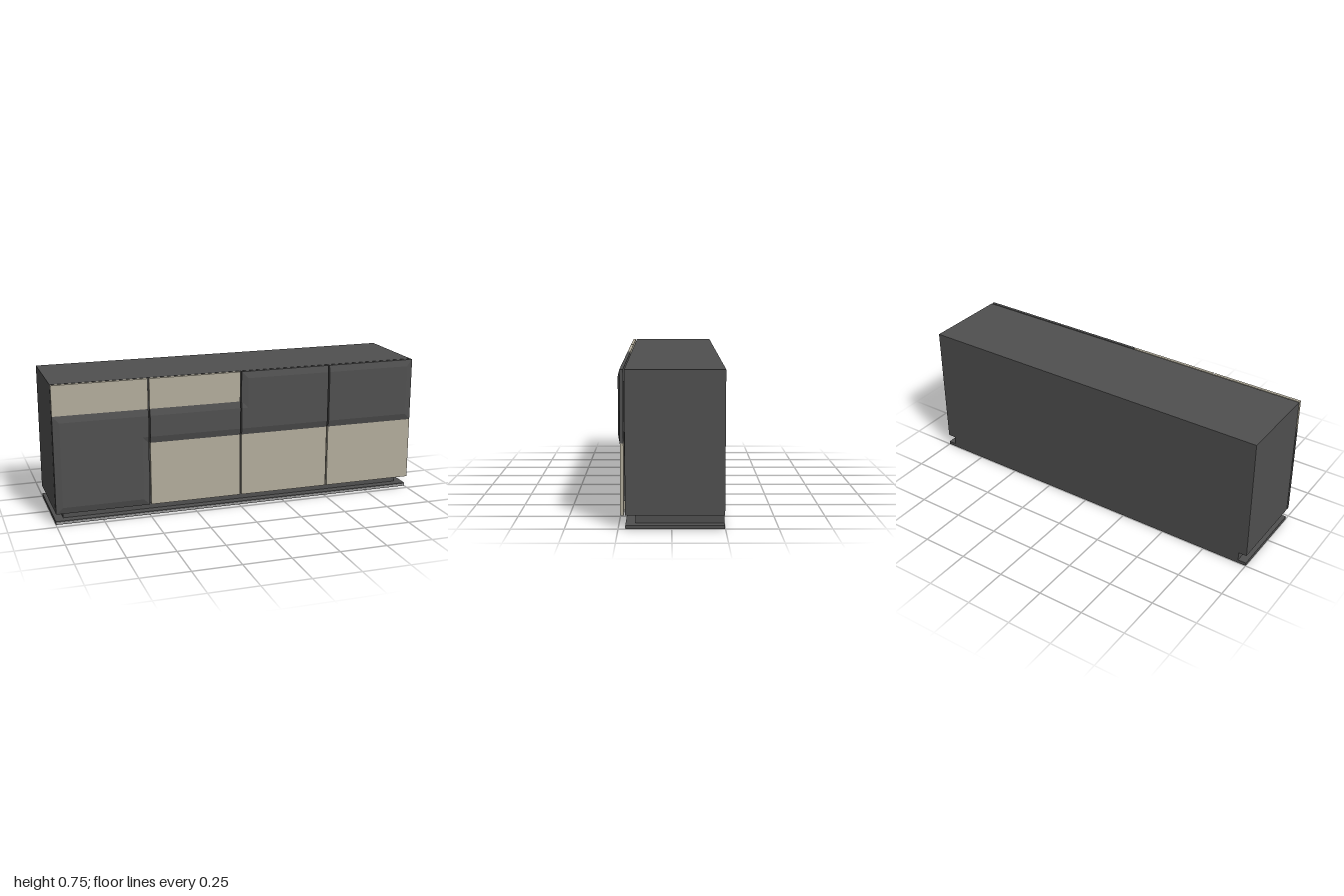
import * as THREE from 'three';

const dark = new THREE.MeshStandardMaterial({ color: 0x505050 });
const beige = new THREE.MeshStandardMaterial({ color: 0xb3ad9c });
const trim = new THREE.MeshStandardMaterial({ color: 0x9a9a9a });

// Depths of the door back, its flat face and its raised face
const BACK = 0.223, FACE = 0.239, RAISED = 0.248;
// Heights where the door fronts change colour, and half the gap between doors
const BOTTOM = 0.065, LOW = 0.403, HIGH = 0.585, TOP = 0.745, GAP = 0.004;
const BEVEL = 0.035;

// Box given by its extents on each axis
function box(name, material, [x0, x1], [y0, y1], [z0, z1]) {
  const mesh = new THREE.Mesh(new THREE.BoxGeometry(x1 - x0, y1 - y0, z1 - z0), material);
  mesh.position.set((x0 + x1) / 2, (y0 + y1) / 2, (z0 + z1) / 2);
  mesh.name = name;
  return mesh;
}

// Door front lofted from its outline to a raised, inset face
function raisedFront(name, outline, inset) {
  const n = outline.length;
  const rings = [[outline, BACK], [outline, FACE], [inset, RAISED]];
  const positions = rings.flatMap(([pts, z]) => pts.flatMap(([x, y]) => [x, y, z]));
  const index = [];
  for (let r = 0; r < 2; r++) {
    for (let i = 0; i < n; i++) {
      const a = r * n + i, b = r * n + (i + 1) % n;
      index.push(a, b, b + n, a, b + n, a + n);
    }
  }
  const face = THREE.ShapeUtils.triangulateShape(inset.map(([x, y]) => new THREE.Vector2(x, y)), []);
  for (const [a, b, c] of face) index.push(a + 2 * n, b + 2 * n, c + 2 * n);
  const back = THREE.ShapeUtils.triangulateShape(outline.map(([x, y]) => new THREE.Vector2(x, y)), []);
  for (const [a, b, c] of back) index.push(c, b, a);
  const indexed = new THREE.BufferGeometry();
  indexed.setAttribute('position', new THREE.Float32BufferAttribute(positions, 3));
  indexed.setIndex(index);
  const geometry = indexed.toNonIndexed();
  geometry.computeVertexNormals();
  const mesh = new THREE.Mesh(geometry, dark);
  mesh.name = name;
  return mesh;
}

// Rectangular raised front; left and right say which sides are bevelled
function rectFront(name, x0, x1, y0, y1, left, right) {
  const l = x0 + left * BEVEL, r = x1 - right * BEVEL, b = y0 + BEVEL, t = y1 - BEVEL;
  return raisedFront(name,
    [[x0, y0], [x1, y0], [x1, y1], [x0, y1]],
    [[l, b], [r, b], [r, t], [l, t]]);
}

export function createModel() {
  const group = new THREE.Group();
  group.name = 'sideboard';

  // Carcass, recessed plinth and floor plate
  group.add(
    box('cabinetBody', dark, [-1, 1], [BOTTOM, TOP], [-0.248, 0.217]),
    box('plinth', dark, [-0.955, 0.955], [0.018, BOTTOM], [-0.248, 0.171]),
    box('floorPlate', dark, [-1, 1], [0, 0.018], [-0.248, 0.216]),
    box('floorPlateTrim', trim, [-1, 1], [0.003, 0.013], [0.216, 0.217]),
    box('doorMount', dark, [-0.96, 0.96], [0.125, 0.685], [0.217, 0.222])
  );

  // Flat pale fronts
  const lowEdges = [-0.5, 0, 0.5, 1];
  for (let i = 0; i < 3; i++) {
    const x1 = lowEdges[i + 1] - (i < 2 ? GAP : 0);
    group.add(box('lowerDoorFront', beige, [lowEdges[i] + GAP, x1], [BOTTOM, LOW], [BACK, FACE]));
  }
  group.add(
    box('upperDrawerFront', beige, [-1, -0.5 - GAP], [HIGH, TOP], [BACK, FACE]),
    box('upperDrawerFront', beige, [-0.5 + GAP, -GAP], [HIGH, TOP], [BACK, FACE])
  );

  // Raised dark fronts forming one stepped band
  const e = BEVEL, xl = -0.5 - GAP, xr = GAP;
  group.add(
    raisedFront('tallDoorFront',
      [[-1, BOTTOM], [xl, BOTTOM], [xl, LOW], [xl, LOW], [xl, HIGH], [-1, HIGH]],
      [[-1 + e, BOTTOM + e], [xl - e, BOTTOM + e], [xl - e, LOW + e], [xl, LOW + e],
        [xl, HIGH - e], [-1 + e, HIGH - e]]),
    rectFront('middleDrawerFront', -0.5 + GAP, -GAP, LOW, HIGH, 0, 0),
    raisedFront('upperDoorFront',
      [[xr, LOW], [0.5 - GAP, LOW], [0.5 - GAP, TOP], [xr, TOP], [xr, HIGH], [xr, HIGH]],
      [[xr, LOW + e], [0.5 - GAP, LOW + e], [0.5 - GAP, TOP - e], [xr + e, TOP - e],
        [xr + e, HIGH - e], [xr, HIGH - e]]),
    rectFront('upperDoorFront', 0.5 + GAP, 1, LOW, TOP, 0, 1)
  );
  return group;
}
